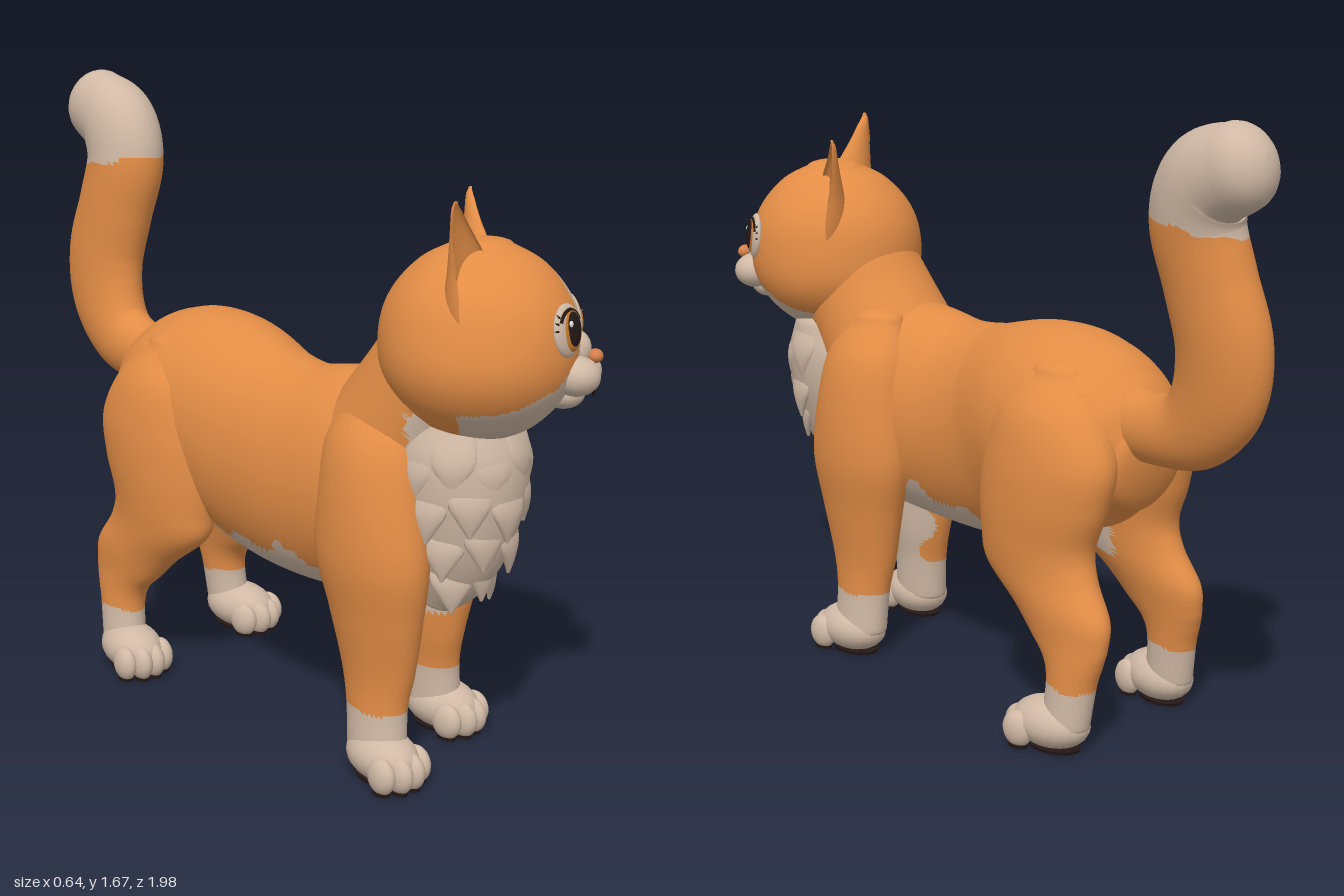
import * as THREE from 'three';

const mat = (name, color) => Object.assign(new THREE.MeshStandardMaterial({ color }), { name });

// Smooth tube through [x, y, z, sideRadius, depthRadius] points, with domed ends.
// level keeps every ring horizontal, for parts listed from top to bottom.
function limb(pts, { steps = 60, segs = 40, cap = 1, level = false } = {}) {
  const path = new THREE.CatmullRomCurve3(pts.map(p => new THREE.Vector3(p[0], p[1], p[2])), false, 'catmullrom');
  const size = new THREE.CatmullRomCurve3(pts.map(p => new THREE.Vector3(p[3], p[4], 0)), false, 'catmullrom');
  const dome = 7, pos = [], idx = [];
  for (let k = -dome; k <= steps + dome; k++) {
    const u = THREE.MathUtils.clamp(k / steps, 0, 1);
    const over = k < 0 ? k / dome : k > steps ? (k - steps) / dome : 0;
    const c = path.getPoint(u), r = size.getPoint(u);
    const t = level ? new THREE.Vector3(0, -1, 0) : path.getTangent(u);
    const s = new THREE.Vector3(1, 0, 0).addScaledVector(t, -t.x).normalize();
    const b = new THREE.Vector3().crossVectors(t, s);
    c.addScaledVector(t, Math.sin(over * Math.PI / 2) * Math.min(r.x, r.y) * cap);
    const shrink = Math.max(Math.cos(over * Math.PI / 2), 0.001);
    for (let j = 0; j < segs; j++) {
      const a = j / segs * Math.PI * 2;
      const p = c.clone().addScaledVector(s, r.x * shrink * Math.cos(a)).addScaledVector(b, r.y * shrink * Math.sin(a));
      pos.push(p.x, p.y, p.z);
    }
  }
  for (let i = 0; i < steps + dome * 2; i++) for (let j = 0; j < segs; j++) {
    const n = (j + 1) % segs, a = i * segs + j, b = i * segs + n;
    idx.push(a, b, a + segs, b, b + segs, a + segs);
  }
  const g = new THREE.BufferGeometry();
  g.setAttribute('position', new THREE.Float32BufferAttribute(pos, 3));
  g.setIndex(idx);
  g.computeVertexNormals();
  return g;
}

// Splits a geometry into two material groups: faces where rule(x, y, z) holds use the second.
function paint(g, rule) {
  const p = g.attributes.position, sets = [[], []], ix = g.index.array;
  for (let i = 0; i < ix.length; i += 3) {
    const t = [ix[i], ix[i + 1], ix[i + 2]];
    const mid = f => (p[f](t[0]) + p[f](t[1]) + p[f](t[2])) / 3;
    sets[rule(mid('getX'), mid('getY'), mid('getZ')) ? 1 : 0].push(...t);
  }
  g.setIndex([...sets[0], ...sets[1]]);
  g.addGroup(0, sets[0].length, 0);
  g.addGroup(sets[0].length, sets[1].length, 1);
  return g;
}

export function createModel() {
  const orange = mat('orangeFur', 0xe38d46), cream = mat('creamFur', 0xd0b9a5);
  const dark = mat('darkBrown', 0x241816), amber = mat('amberIris', 0xc8792f);
  const nosePink = mat('nose', 0xd5804a), white = mat('eyeGlint', 0xf4efe8);
  const fur = [orange, cream];
  const model = new THREE.Group();
  const add = (parent, name, geo, material) => {
    const m = new THREE.Mesh(geo, material);
    m.name = name;
    parent.add(m);
    return m;
  };
  const sphere = new THREE.SphereGeometry(1, 22, 14);
  const ball = (parent, name, material, p, s) => {
    const m = add(parent, name, sphere, material);
    m.position.set(...p);
    m.scale.set(...s);
  };

  // Torso with a wavy pale belly
  add(model, 'torso', paint(limb([
    [0, 0.76, -0.535, 0.13, 0.14], [0, 0.775, -0.46, 0.205, 0.215], [0, 0.79, -0.34, 0.24, 0.27],
    [-0.005, 0.785, -0.2, 0.235, 0.29], [-0.025, 0.73, 0, 0.205, 0.3], [-0.035, 0.715, 0.2, 0.203, 0.297],
    [-0.02, 0.74, 0.4, 0.215, 0.3], [0, 0.76, 0.55, 0.2, 0.26], [0.01, 0.76, 0.66, 0.14, 0.19],
  ], { steps: 100, segs: 72, cap: 0.3 }), (x, y, z) =>
    z > -0.36 && y < 0.515 + 0.015 * Math.sin(z * 26) + 0.01 * Math.sin(z * 53) + 0.07 * Math.exp(-(((z - 0.22) / 0.035) ** 2))), fur);

  // Neck
  add(model, 'neck', paint(limb([
    [-0.01, 0.84, 0.46, 0.205, 0.205], [0.005, 1.0, 0.56, 0.19, 0.185], [0.02, 1.1, 0.625, 0.185, 0.185],
  ], { steps: 40 }), (x, y, z) => z > 0.64 && y < 1.0), fur);

  // Chest ruff and its overlapping tufts
  const ruff = new THREE.Group();
  ruff.name = 'chestRuff';
  model.add(ruff);
  const ruffRows = [
    [0.03, 0.96, 0.65, 0.165, 0.15], [0.025, 0.88, 0.65, 0.182, 0.18], [0.02, 0.78, 0.65, 0.175, 0.185],
    [0.015, 0.68, 0.645, 0.15, 0.17], [0.01, 0.58, 0.62, 0.115, 0.145], [0, 0.49, 0.58, 0.07, 0.1],
  ];
  add(ruff, 'ruffBase', limb(ruffRows, { steps: 40, cap: 0.4 }), cream);
  const tuft = limb([[0, 0.08, -0.035, 0.05, 0.015], [0, 0, -0.004, 0.06, 0.02], [0, -0.05, 0.004, 0.035, 0.014], [0, -0.095, 0.002, 0.006, 0.005]], { steps: 9, segs: 16 });
  ruffRows.slice(1, 5).forEach(([x, y, z, rx, rz], row) => {
    const n = [6, 5, 4, 3][row];
    for (let i = 0; i < n; i++) {
      const a = (i / (n - 1) - 0.5) * [3, 2.6, 2.1, 1.5][row];
      const m = add(ruff, 'furTuft', tuft, cream);
      m.position.set(x + (rx - 0.012) * Math.sin(a), y - 0.01 + 0.025 * (i % 2), z + (rz - 0.012) * Math.cos(a));
      m.rotation.y = a;
    }
  });

  // Paw with four toes and dark pads
  const paw = (name, x, z, turn) => {
    const g = new THREE.Group();
    g.name = name;
    g.position.set(x, 0, z);
    g.rotation.y = turn;
    model.add(g);
    const pad = (px, pz, rx, rz) => {
      const m = add(g, 'pad', new THREE.CylinderGeometry(1, 0.95, 0.009, 20), dark);
      m.position.set(px, 0.0065, pz);
      m.scale.set(rx, 1, rz);
    };
    ball(g, 'foot', cream, [0, 0.07, 0.01], [0.08, 0.068, 0.115]);
    pad(0, 0, 0.055, 0.08);
    for (let i = 0; i < 4; i++) {
      const tx = (i - 1.5) * 0.04, tz = i % 3 ? 0.098 : 0.075;
      ball(g, 'toe', cream, [tx, 0.052, tz], [0.029, 0.05, 0.046]);
      pad(tx, tz, 0.02, 0.03);
    }
  };

  // Legs: the right front one stands a step ahead
  const frontLeg = [
    [0.1, 1.0, 0.43, 0.07, 0.09], [0.13, 0.9, 0.43, 0.105, 0.14], [0.15, 0.77, 0.435, 0.112, 0.162], [0.16, 0.6, 0.44, 0.108, 0.178],
    [0.155, 0.45, 0.445, 0.09, 0.148], [0.15, 0.3, 0.445, 0.073, 0.115], [0.157, 0.2, 0.445, 0.064, 0.094], [0.165, 0.08, 0.45, 0.064, 0.09],
  ];
  const hindLeg = [
    [0.1, 0.98, -0.33, 0.08, 0.1], [0.14, 0.89, -0.335, 0.11, 0.17], [0.16, 0.77, -0.345, 0.118, 0.217], [0.17, 0.65, -0.33, 0.113, 0.213],
    [0.175, 0.54, -0.315, 0.102, 0.19], [0.18, 0.46, -0.335, 0.09, 0.19], [0.19, 0.37, -0.42, 0.075, 0.163], [0.197, 0.3, -0.457, 0.063, 0.128],
    [0.203, 0.25, -0.477, 0.058, 0.095], [0.208, 0.19, -0.478, 0.056, 0.076], [0.215, 0.08, -0.465, 0.056, 0.072],
  ];
  for (const side of [1, -1]) {
    const label = side > 0 ? 'left' : 'right';
    const step = y => side > 0 ? 0 : 0.07 + 0.05 * (1 - y);
    add(model, label + 'FrontLeg', paint(
      limb(frontLeg.map(([x, y, z, a, b]) => [x * side, y, z + step(y), a, b]), { steps: 72, cap: 0.5, level: true }),
      (x, y, z) => {
        const sock = y < 0.195 + 0.005 * Math.sin(z * 40);
        const inner = x * side < 0.11 + 0.012 * Math.sin(y * 45);
        const patch = side > 0 ? y > 0.37 && y < 0.6 && x < 0.06 + (y - 0.3) * 0.6 && z > 0.47 : inner && y < 0.52;
        return sock || patch;
      }), fur);
    paw(label + 'FrontPaw', 0.172 * side, 0.47 + (side > 0 ? 0 : 0.115), side * 0.08);

    const shift = side > 0 ? 0 : 0.03;
    add(model, label + 'HindLeg', paint(
      limb(hindLeg.map(([x, y, z, a, b]) => [x * side, y, z + shift, a, b]), { steps: 80, cap: 0.5, level: true }),
      (x, y, z) => y < 0.185 + 0.005 * Math.sin(z * 40)
        || (x * side < 0.1 && y < 0.52 && y > 0.4 && z > -0.33)), fur);
    paw(label + 'HindPaw', 0.222 * side, -0.43 + shift, side * 0.15);
  }

  // Tail with a pale tip
  add(model, 'tail', paint(limb([
    [0.01, 0.87, -0.44, 0.09, 0.1], [0.03, 0.865, -0.6, 0.078, 0.092], [0.035, 0.9, -0.73, 0.08, 0.112],
    [0.042, 1.0, -0.81, 0.085, 0.135], [0.05, 1.13, -0.828, 0.09, 0.138], [0.062, 1.28, -0.79, 0.095, 0.13],
    [0.078, 1.42, -0.76, 0.102, 0.128], [0.088, 1.52, -0.8, 0.104, 0.125], [0.096, 1.565, -0.9, 0.094, 0.11],
  ], { steps: 100 }), (x, y, z) => y > 1.42 + (z + 0.76) * 0.2 + 0.005 * Math.sin(z * 45 + x * 30)), fur);

  // Head, turned toward the left
  const head = new THREE.Group();
  head.name = 'head';
  head.position.set(0.033, 1.165, 0.7);
  head.rotation.set(0, 0.65, -0.09);
  model.add(head);
  add(head, 'skull', paint(limb([
    [0, 0.242, 0, 0.07, 0.075], [0, 0.2, 0, 0.142, 0.152], [0, 0.13, 0, 0.202, 0.215], [0, 0.05, 0, 0.232, 0.246],
    [0, -0.05, 0, 0.243, 0.247], [0, -0.13, 0, 0.213, 0.215], [0, -0.2, 0, 0.145, 0.15], [0, -0.238, 0, 0.075, 0.08],
  ], { steps: 80, segs: 108, cap: 0.22, level: true }), (x, y, z) => {
    const ax = Math.abs(x);
    const cheeks = z > -0.03 && y < 0.03 - 0.9 * ax + 0.006 * Math.sin(ax * 90);
    const blaze = z > 0 && y < 0.18 && ax < 0.05 * (1 - y / 0.18) ** 0.7;
    return cheeks || blaze;
  }), fur);

  // Muzzle, nose and mouth
  ball(head, 'chin', cream, [0, -0.12, 0.21], [0.05, 0.04, 0.055]);
  ball(head, 'noseBridge', cream, [0, -0.01, 0.23], [0.04, 0.05, 0.045]);
  ball(head, 'nose', nosePink, [0, -0.025, 0.284], [0.026, 0.018, 0.02]);
  for (const side of [1, -1]) {
    ball(head, 'muzzle', cream, [0.042 * side, -0.07, 0.242], [0.058, 0.05, 0.06]);
    const mouth = add(head, 'mouthLine', new THREE.TorusGeometry(0.03, 0.004, 8, 24, Math.PI), dark);
    mouth.position.set(0.03 * side, -0.084, 0.285);
    mouth.rotation.z = Math.PI;

    // Eyes
    const eye = new THREE.Group();
    eye.name = 'eye';
    eye.position.set(0.1 * side, 0.05, 0.216);
    eye.quaternion.setFromUnitVectors(new THREE.Vector3(0, 0, 1), new THREE.Vector3(0.48 * side, 0.14, 1).normalize());
    head.add(eye);
    ball(eye, 'eyeball', cream, [0, 0, 0], [0.062, 0.066, 0.018]);
    ball(eye, 'iris', amber, [-0.006 * side, 0, 0.008], [0.045, 0.053, 0.015]);
    ball(eye, 'pupil', dark, [-0.006 * side, 0.002, 0.014], [0.034, 0.044, 0.012]);
    ball(eye, 'glint', white, [-0.016, 0.018, 0.0225], [0.007, 0.008, 0.004]);
    const lid = add(eye, 'upperLashLine', new THREE.TorusGeometry(0.05, 0.005, 8, 32, 2.2), dark);
    lid.position.z = 0.01;
    lid.rotation.z = 0.47;
    for (let i = 0; i < 3; i++) {
      const a = 0.1 + i * 0.3;
      const lash = add(eye, 'lash', new THREE.ConeGeometry(0.004, 0.024, 6), dark);
      lash.position.set(side * 0.062 * Math.cos(a), 0.062 * Math.sin(a), 0.006);
      lash.rotation.z = -side * (Math.PI / 2 - a);
    }

    // Ear, turned outward, with the front half folded back into a cup
    const earGeo = limb([
      [0.082 * side, 0.352, -0.03, 0.008, 0.008], [0.075 * side, 0.335, -0.027, 0.02, 0.018], [0.053 * side, 0.28, -0.015, 0.05, 0.038],
      [0.022 * side, 0.2, -0.005, 0.083, 0.062], [0.005 * side, 0.12, 0, 0.102, 0.08], [0, 0.05, 0, 0.1, 0.08],
    ], { steps: 34, segs: 36, level: true });
    const p = earGeo.attributes.position;
    for (let i = 0; i < p.count; i++) {
      const fold = -0.03 * THREE.MathUtils.smoothstep(p.getY(i), 0.1, 0.35);
      const d = p.getZ(i) - fold;
      if (d > 0) p.setZ(i, fold - d * 0.45);
    }
    earGeo.computeVertexNormals();
    const ear = add(head, side > 0 ? 'leftEar' : 'rightEar', earGeo, orange);
    ear.position.set(0.13 * side, 0, 0.01);
    ear.rotation.y = 0.4 * side;
  }
  return model;
}
